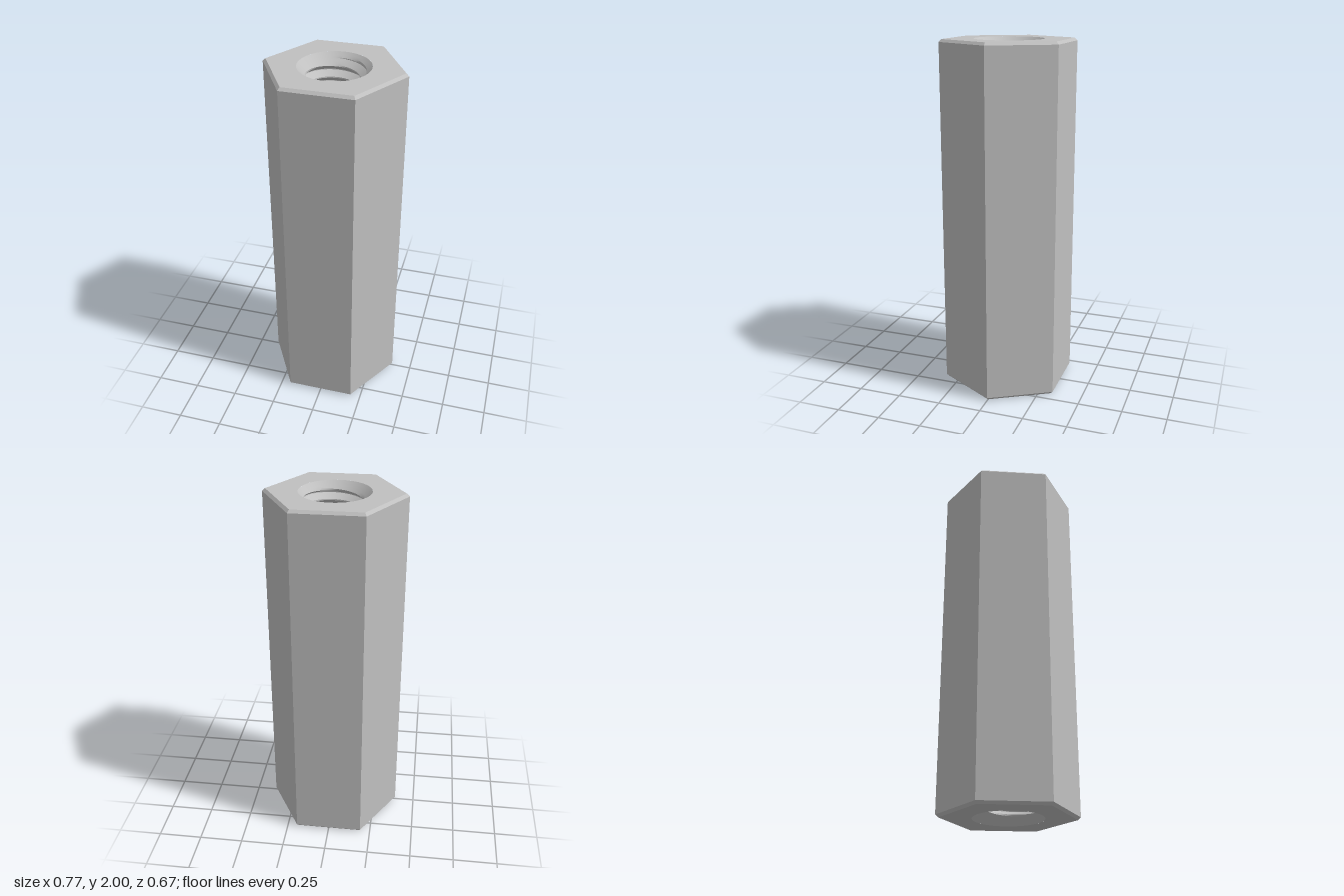
import * as THREE from 'three';
import { toCreasedNormals } from 'three/addons/utils/BufferGeometryUtils.js';

const HEIGHT = 2, HEX = 0.385, BEVEL = 0.015;
const MINOR = 0.135, MAJOR = 0.168, MOUTH = 0.194, PITCH = 0.065, SEGMENTS = 64;

// Hexagonal wall with a small bevel at both ends
function hexWall() {
  const profile = [[HEX - 0.016, 0], [HEX, BEVEL], [HEX, HEIGHT - BEVEL], [HEX - 0.016, HEIGHT]]
    .map(([r, y]) => new THREE.Vector2(r, y));
  const geometry = new THREE.LatheGeometry(profile, 6, Math.PI / 6).toNonIndexed();
  geometry.computeVertexNormals();
  return geometry;
}

// Flat hexagonal end with a round opening
function hexEnd() {
  const corners = Array.from({ length: 6 }, (_, i) => {
    const a = i * Math.PI / 3;
    return new THREE.Vector2(Math.cos(a), Math.sin(a)).multiplyScalar(HEX - 0.016);
  });
  const shape = new THREE.Shape(corners);
  const hole = new THREE.Path();
  hole.absarc(0, 0, MOUTH, 0, Math.PI * 2, true);
  shape.holes.push(hole);
  return new THREE.ShapeGeometry(shape, SEGMENTS);
}

// Right-handed screw thread, cut by a 45 degree countersink at both ends
function threadedBore() {
  const depth = MAJOR - MINOR;
  // fraction of one pitch, cut depth: root flat, flank, crest flat, flank
  const steps = [[0, 1], [0.06, 1], [0.2, 0.6667], [0.34, 0.3333], [0.48, 0],
    [0.58, 0], [0.72, 0.3333], [0.86, 0.6667]];
  const turns = Math.ceil(HEIGHT / PITCH) + 2;
  const offset = HEIGHT - 0.026 - 0.3 * PITCH - (turns - 2) * PITCH;

  const columns = [];
  for (let i = 0; i <= SEGMENTS; i++) {
    const f = i / SEGMENTS, a = (i % SEGMENTS) * 2 * Math.PI / SEGMENTS;
    const column = [];
    for (let k = -2; k < turns; k++) {
      for (const [p, cut] of steps) {
        const y = THREE.MathUtils.clamp(offset + (k + f + p) * PITCH, 0, HEIGHT);
        const cone = MOUTH - Math.min(y, HEIGHT - y);
        const r = Math.max(MINOR + depth * cut, cone);
        const atEnd = y === 0 || y === HEIGHT;
        const radius = atEnd ? MOUTH : r;
        column.push(new THREE.Vector3(radius * Math.cos(a), y, -radius * Math.sin(a)));
      }
    }
    columns.push(column);
  }

  const positions = [];
  const triangle = new THREE.Triangle();
  const addFace = (a, b, c) => {
    const flatOnEnd = a.y === b.y && b.y === c.y && (a.y === 0 || a.y === HEIGHT);
    if (!flatOnEnd && triangle.set(a, b, c).getArea() > 1e-9) {
      positions.push(...a.toArray(), ...b.toArray(), ...c.toArray());
    }
  };
  for (let i = 0; i < SEGMENTS; i++) {
    const near = columns[i], far = columns[i + 1];
    for (let j = 0; j < near.length - 1; j++) {
      addFace(near[j], near[j + 1], far[j]);
      addFace(near[j + 1], far[j + 1], far[j]);
    }
  }
  const geometry = new THREE.BufferGeometry();
  geometry.setAttribute('position', new THREE.Float32BufferAttribute(positions, 3));
  return toCreasedNormals(geometry, 0.4);
}

export function createModel() {
  const steel = new THREE.MeshStandardMaterial({ color: 0xc0c0c0 });
  steel.name = 'steel grey';
  const group = new THREE.Group();
  group.name = 'hexStandoff';
  const add = (name, geometry) => {
    const mesh = new THREE.Mesh(geometry, steel);
    mesh.name = name;
    group.add(mesh);
    return mesh;
  };

  add('hexBody', hexWall());
  const top = add('topFace', hexEnd());
  top.rotation.x = -Math.PI / 2;
  top.position.y = HEIGHT;
  add('bottomFace', hexEnd()).rotation.x = Math.PI / 2;
  add('threadedBore', threadedBore());
  return group;
}
